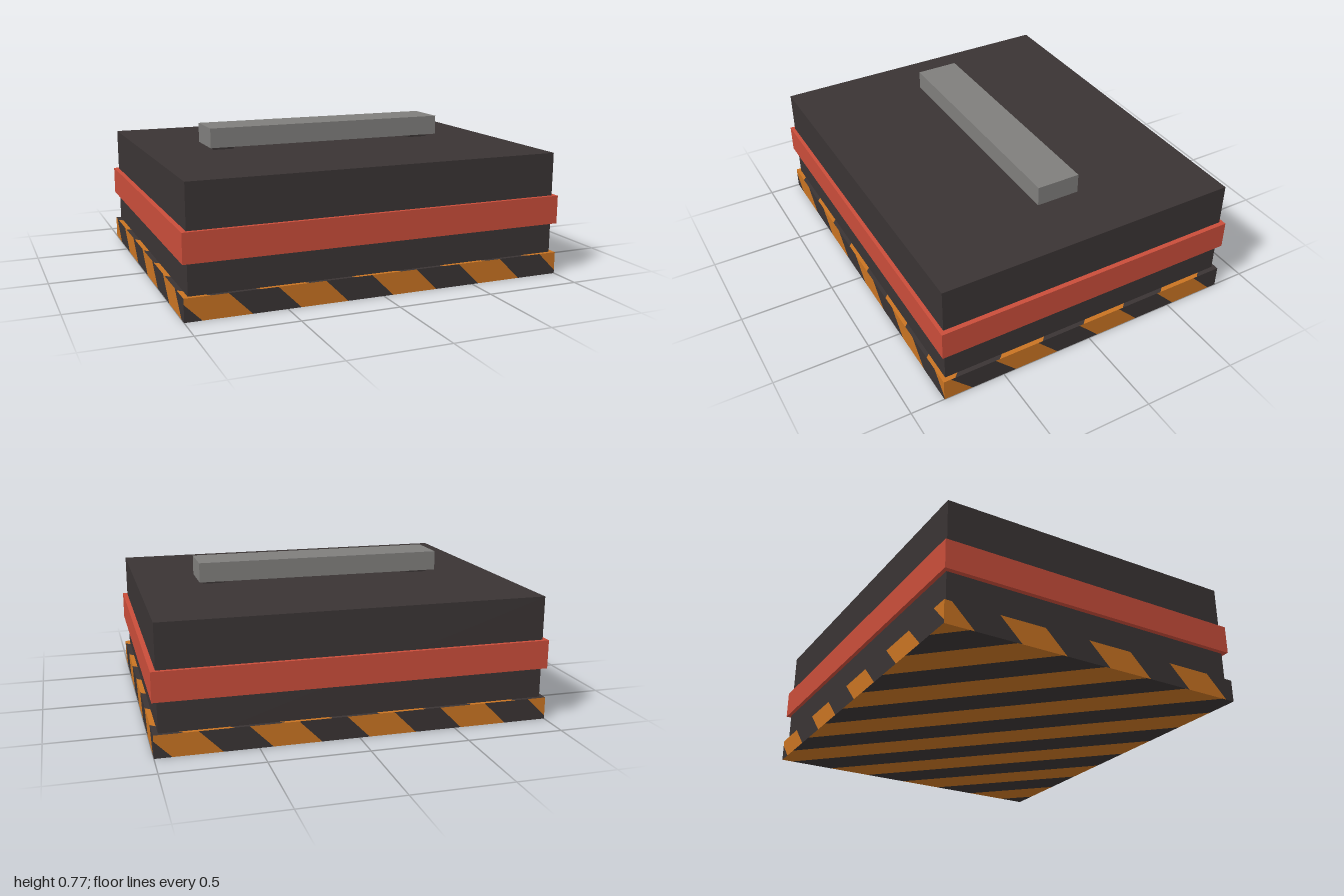
import * as THREE from 'three';
import { mergeGeometries } from 'three/addons/utils/BufferGeometryUtils.js';

const material = (name, color) => {
  const m = new THREE.MeshStandardMaterial({ color });
  m.name = name;
  return m;
};

// Keep the part of a convex polygon where sign * (x + y) >= sign * limit
function clipDiagonal(points, limit, sign) {
  const side = (p) => sign * (p.x + p.y - limit);
  const out = [];
  points.forEach((a, i) => {
    const b = points[(i + 1) % points.length];
    const da = side(a), db = side(b);
    if (da >= 0) out.push(a);
    if (da * db < 0) out.push(a.clone().lerp(b, da / (da - db)));
  });
  return out;
}

// Split a rectangle into alternating diagonal bands: [orange, dark]
function stripedFace(w, h, place) {
  const half = 0.2415, start = -0.006;
  const rect = [[-1, -1], [1, -1], [1, 1], [-1, 1]]
    .map(([x, y]) => new THREE.Vector2(x * w / 2, y * h / 2));
  const sets = [[], []];
  for (let k = -10; k < 10; k++) {
    const low = start + k * half;
    const band = clipDiagonal(clipDiagonal(rect, low, 1), low + half, -1);
    if (band.length < 3) continue;
    const geometry = new THREE.ShapeGeometry(new THREE.Shape(band));
    sets[Math.abs(k % 2)].push(place(geometry));
  }
  return sets;
}

export function createModel() {
  const group = new THREE.Group();
  const dark = material('charcoal', 0x3a3434);
  const red = material('red', 0xc94d3a);
  const orange = material('orange', 0xc87322);
  const grey = material('grey', 0x7f7e7c);

  const box = (name, mat, w, y0, y1, d, x = 0) => {
    const mesh = new THREE.Mesh(new THREE.BoxGeometry(w, y1 - y0, d), mat);
    mesh.position.set(x, (y0 + y1) / 2, 0);
    mesh.name = name;
    group.add(mesh);
  };

  // Main block with a raised belt
  box('body', dark, 1.95, 0.01, 0.645, 1.61);
  box('belt', red, 2, 0.272, 0.42, 1.65);

  // Handle bar on two feet
  for (const side of [-1, 1]) {
    box(side < 0 ? 'rightHandleFoot' : 'leftHandleFoot', dark, 0.115, 0.64, 0.667, 0.115, side * 0.575);
  }
  box('handle', grey, 1.32, 0.665, 0.768, 0.23);

  // Hazard-striped base, six faces around its centre
  const W = 2, H = 0.115, D = 1.65;
  const faces = [
    stripedFace(W, H, (g) => g.translate(0, 0, D / 2)),
    stripedFace(W, H, (g) => g.translate(0, 0, D / 2).rotateY(Math.PI)),
    stripedFace(D, H, (g) => g.translate(0, 0, W / 2).rotateY(Math.PI / 2)),
    stripedFace(D, H, (g) => g.translate(0, 0, W / 2).rotateY(-Math.PI / 2)),
    stripedFace(W, D, (g) => g.translate(0, 0, H / 2).rotateX(-Math.PI / 2)),
    stripedFace(W, D, (g) => g.translate(0, 0, H / 2).rotateX(Math.PI / 2)),
  ];
  const base = new THREE.Group();
  base.name = 'hazardBase';
  base.position.y = H / 2;
  [orange, dark].forEach((mat, i) => {
    const mesh = new THREE.Mesh(mergeGeometries(faces.flatMap((f) => f[i])), mat);
    mesh.name = i ? 'darkStripes' : 'orangeStripes';
    base.add(mesh);
  });
  group.add(base);

  return group;
}
